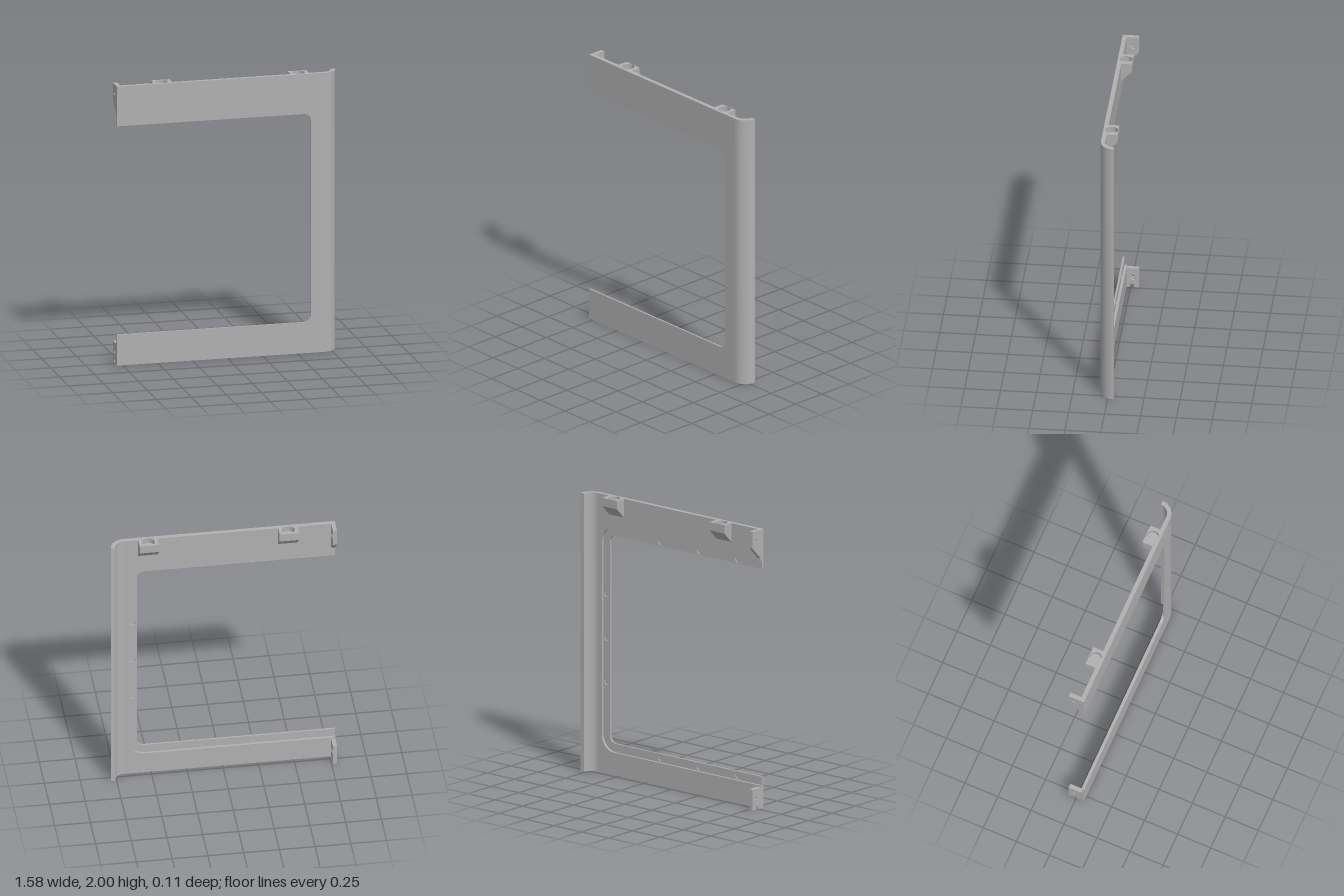
import * as THREE from 'three';
import { toCreasedNormals } from 'three/addons/utils/BufferGeometryUtils.js';

const H = 2, LEFT = -0.79, BEND = 0.69;        // height, open end, start of the curved lip
const OPEN = { x: 0.595, lo: 0.222, hi: 1.715, r: 0.05 };
const CLIPS = [-0.457, 0.522], CLIP_W = 0.135, CLIP_TOP = 0.04;

const poly = pts => new THREE.Shape(pts.map(p => new THREE.Vector2(...p)));

function circleHole(shape, x, y, r) {
  shape.holes.push(new THREE.Path().absarc(x, y, r, 0, Math.PI * 2, true));
  return shape;
}

// C-shaped outline; grow widens the opening, notched leaves room for the clips
function frameShape(grow, notched) {
  const x = OPEN.x + grow, hi = OPEN.hi + grow, lo = OPEN.lo - grow, r = OPEN.r + grow;
  const s = new THREE.Shape();
  s.moveTo(LEFT, 0).lineTo(BEND, 0).lineTo(BEND, H);
  if (notched) {
    for (const c of [...CLIPS].reverse()) {
      const a = c + CLIP_W / 2, b = c - CLIP_W / 2;
      s.lineTo(a, H).lineTo(a, H - CLIP_TOP).lineTo(b, H - CLIP_TOP).lineTo(b, H);
    }
  }
  s.lineTo(LEFT, H).lineTo(LEFT, hi).lineTo(x - r, hi);
  s.absarc(x - r, hi - r, r, Math.PI / 2, 0, true);
  s.lineTo(x, lo + r);
  s.absarc(x - r, lo + r, r, 0, -Math.PI / 2, true);
  s.lineTo(LEFT, lo);
  return s;
}

export function createModel() {
  const group = new THREE.Group();
  const grey = new THREE.MeshStandardMaterial({ color: 0xb0b0b0 });
  grey.name = 'grey';

  // axis: direction of extrusion. 'y' shapes use (x, -z), 'x' shapes use (-z, y)
  function extrude(name, shape, axis, start, end) {
    let g = new THREE.ExtrudeGeometry(shape, { depth: end - start, bevelEnabled: false, curveSegments: 16 });
    g.translate(0, 0, start);
    if (axis === 'y') g.rotateX(-Math.PI / 2);
    if (axis === 'x') g.rotateY(Math.PI / 2);
    g.translate(0, 0, 0.0025);
    g = toCreasedNormals(g, 0.6);
    const m = new THREE.Mesh(g, grey);
    m.name = name;
    group.add(m);
  }

  // Frame in three layers: face, ledge with shallow round pockets, raised back
  extrude('frontFace', frameShape(0, false), 'z', 0.05, 0.055);
  const ledge = frameShape(0, false);
  for (const i of [-1, 0, 1]) {
    circleHole(ledge, OPEN.x + 0.031, 0.97 + i * 0.315, 0.024);
    circleHole(ledge, -0.218 + i * 0.35, OPEN.hi + 0.03, 0.024);
    circleHole(ledge, -0.218 + i * 0.35, OPEN.lo - 0.03, 0.024);
  }
  extrude('ledge', ledge, 'z', 0.042, 0.05);
  extrude('backFrame', frameShape(0.06, true), 'z', 0.025, 0.042);

  // Quarter-round lip along the closed side
  const lip = new THREE.Shape();
  lip.moveTo(BEND, -0.055);
  lip.absarc(BEND, 0.045, 0.1, -Math.PI / 2, 0, false);
  lip.lineTo(BEND + 0.07, 0.045);
  lip.absarc(BEND, 0.045, 0.07, 0, -Math.PI / 2, true);
  extrude('curvedLip', lip, 'y', 0, H);

  // Clips: socket with a blind round hole over a sloped base
  for (const c of CLIPS) {
    const a = c - CLIP_W / 2, b = c + CLIP_W / 2;
    const socket = poly([[a, -0.042], [b, -0.042], [b, 0.05], [a, 0.05]]);
    extrude('clipSocket', circleHole(socket, c, 0.004, 0.043), 'y', H - CLIP_TOP, H);
    const base = poly([[-0.025, H - CLIP_TOP], [-0.025, 1.865], [0.05, 1.94], [0.05, H - CLIP_TOP]]);
    extrude('clipBase', base, 'x', a, b);
  }

  // End tabs with a stepped screw hole
  const tabs = [
    ['upperTab', [[-0.025, H], [-0.025, 1.795], [0.06, 1.88], [0.06, H]], 1.93],
    ['lowerTab', [[-0.025, 0.15], [-0.025, 0], [0, 0], [0, 0.025], [0.025, 0.025],
      [0.025, 0], [0.06, 0], [0.06, 0.15]], 0.08],
  ];
  for (const [name, pts, y] of tabs) {
    extrude(name, circleHole(poly(pts), 0.018, y, 0.01), 'x', LEFT, LEFT + 0.015);
    extrude(name + 'Inner', circleHole(poly(pts), 0.018, y, 0.022), 'x', LEFT + 0.015, LEFT + 0.03);
  }
  return group;
}
